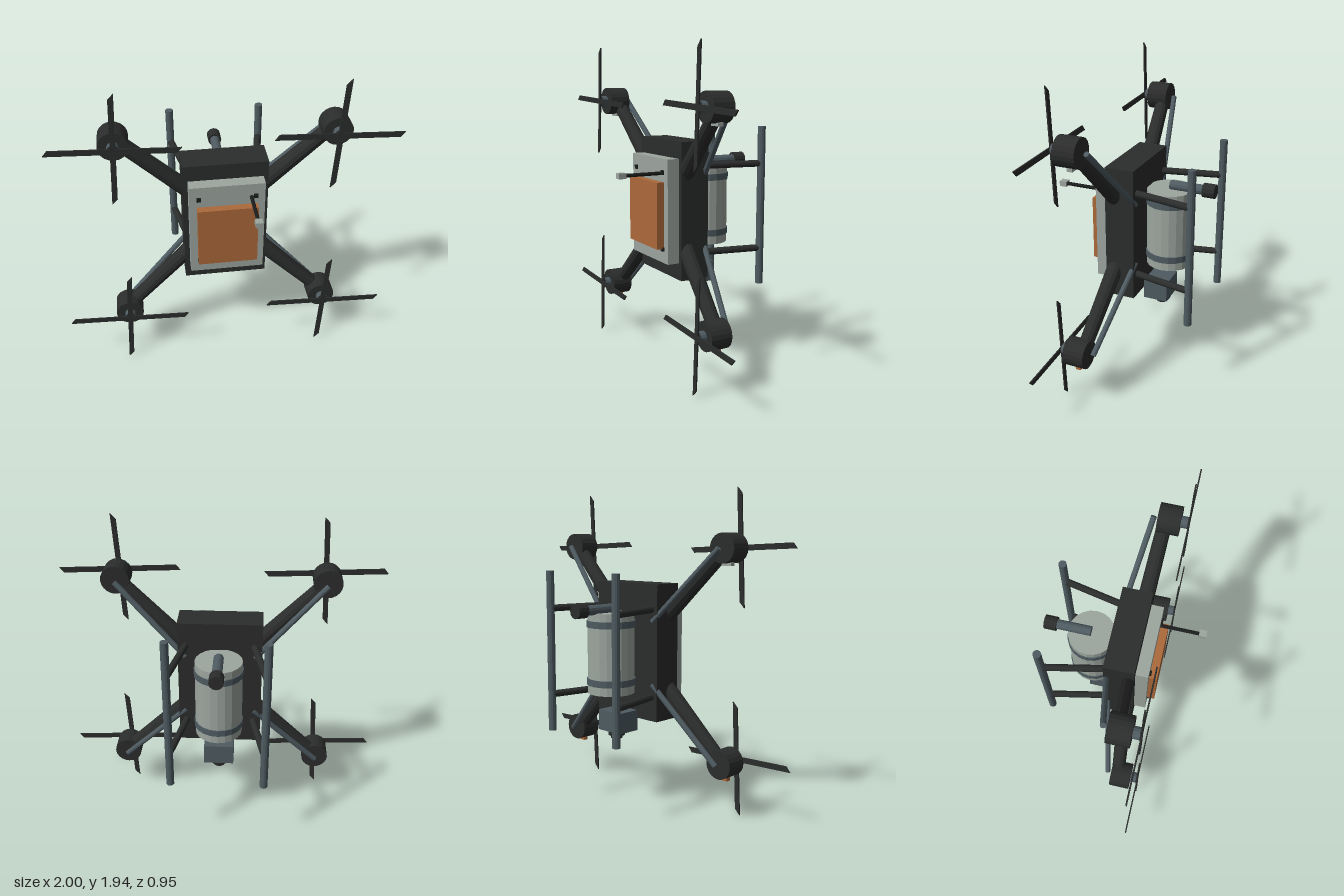
import * as THREE from 'three';

const paint = (name, color, extra = {}) => {
  const m = new THREE.MeshStandardMaterial({ color, flatShading: true, ...extra });
  m.name = name;
  return m;
};

export function createModel() {
  const model = new THREE.Group();
  model.name = 'surveyDrone';
  const dark = paint('charcoal', 0x2b2c2c);
  const black = paint('black', 0x1b1d1d);
  const light = paint('pale grey', 0x9da69f);
  const orange = paint('burnt orange', 0xac693a);
  const steel = paint('slate', 0x4e5b61);

  const add = (name, geometry, material, parent = model) => {
    const mesh = new THREE.Mesh(geometry, material);
    mesh.name = name;
    parent.add(mesh);
    return mesh;
  };
  // box given by its limits on each axis
  const box = (name, material, [x0, x1], [y0, y1], [z0, z1], parent) => {
    const mesh = add(name, new THREE.BoxGeometry(x1 - x0, y1 - y0, z1 - z0), material, parent);
    mesh.position.set((x0 + x1) / 2, (y0 + y1) / 2, (z0 + z1) / 2);
    return mesh;
  };
  // round bar between two points, with a radius at each end
  const bar = (name, material, from, to, r0, r1 = r0, sides = 12, parent = model) => {
    const a = new THREE.Vector3(...from), b = new THREE.Vector3(...to);
    const mesh = add(name, new THREE.CylinderGeometry(r1, r0, a.distanceTo(b), sides), material, parent);
    mesh.position.copy(a).lerp(b, 0.5);
    mesh.quaternion.setFromUnitVectors(new THREE.Vector3(0, 1, 0), b.sub(a).normalize());
    return mesh;
  };
  const blade = (points) => new THREE.ExtrudeGeometry(
    new THREE.Shape(points.map(([x, y]) => new THREE.Vector2(x, y))),
    { depth: 0.008, bevelEnabled: false });

  // body with the raised panel and battery on its face
  box('body', dark, [-0.255, 0.255], [0.557, 1.385], [-0.062, 0.12]);
  box('facePanel', light, [-0.225, 0.225], [0.66, 1.285], [0.12, 0.195]);
  box('battery', orange, [-0.18, 0.18], [0.748, 1.147], [0.195, 0.242]);
  for (const x of [-0.168, 0.168])
    for (const y of [0.745, 1.204])
      box('panelStud', black, [x - 0.013, x + 0.013], [y - 0.013, y + 0.013], [0.195, 0.206]);

  // antenna
  bar('antennaRod', black, [0.142, 1.197, 0.195], [0.142, 1.197, 0.435], 0.011);
  box('antennaTip', light, [0.121, 0.163], [1.181, 1.214], [0.43, 0.475]);

  // four arms with motors and rotors
  const bladeAcross = blade([[-0.345, 0.032], [-0.372, 0], [0.345, -0.032], [0.372, 0]]);
  const bladeUpright = blade([[0, 0.31], [-0.033, -0.345], [0, -0.31], [0.033, 0.345]]);
  for (const s of [-1, 1]) {
    for (const v of [-1, 1]) {
      const unit = new THREE.Group();
      unit.name = `${v > 0 ? 'upper' : 'lower'}${s > 0 ? 'Left' : 'Right'}Arm`;
      model.add(unit);
      const x = 0.628 * s, y = 0.971 + 0.626 * v;
      bar('armTube', dark, [0.22 * s, 0.971 + 0.225 * v, 0.07], [x, y, 0.105], 0.05, 0.042, 12, unit);
      bar('armBrace', steel, [0.21 * s, 0.971 + 0.19 * v, -0.055], [x, y, 0.035], 0.017, 0.017, 10, unit);
      bar('motor', dark, [x, y, 0.062], [x, y, 0.193], 0.086, 0.086, 20, unit);
      bar('rotorShaft', steel, [x, y, 0.193], [x, y, 0.232], 0.034, 0.034, 14, unit);
      bar('rotorHub', dark, [x, y, 0.23], [x, y, 0.236], 0.034, 0.034, 14, unit);
      for (const geometry of [bladeAcross, bladeUpright])
        add('rotorBlade', geometry, dark, unit).position.set(x, y, 0.236);
      box('navigationLight', v > 0 ? light : orange,
        [x - 0.034, x + 0.034], [y - 0.1, y - 0.075], [0.103, 0.135], unit);
    }

    // landing skid and its two stays
    bar('skid', steel, [0.284 * s, 0.479, -0.426], [0.284 * s, 1.46, -0.426], 0.024);
    for (const y of [0.706, 1.235])
      bar('skidStay', dark, [0.205 * s, y, -0.04], [0.282 * s, y, -0.42], 0.021);
  }

  // tank with two straps
  bar('tank', light, [0, 0.725, -0.194], [0, 1.215, -0.194], 0.142, 0.142, 20);
  for (const y of [0.797, 1.147])
    bar('tankStrap', steel, [0, y - 0.02, -0.194], [0, y + 0.02, -0.194], 0.148, 0.148, 20);

  // spray tube across the tank end
  bar('sprayTube', steel, [0, 1.236, -0.195], [0, 1.236, -0.42], 0.03);
  bar('sprayNozzle', dark, [0, 1.236, -0.402], [0, 1.236, -0.477], 0.043);

  // camera
  box('cameraHousing', steel, [-0.092, 0.092], [0.479, 0.606], [-0.213, -0.062]);
  bar('lensRing', dark, [0, 0.479, -0.15], [0, 0.452, -0.15], 0.052, 0.052, 16);
  bar('lensBarrel', dark, [0, 0.452, -0.15], [0, 0.433, -0.15], 0.037, 0.037, 16);
  bar('lensGlass', steel, [0, 0.436, -0.15], [0, 0.431, -0.15], 0.026, 0.026, 16);

  return model;
}
